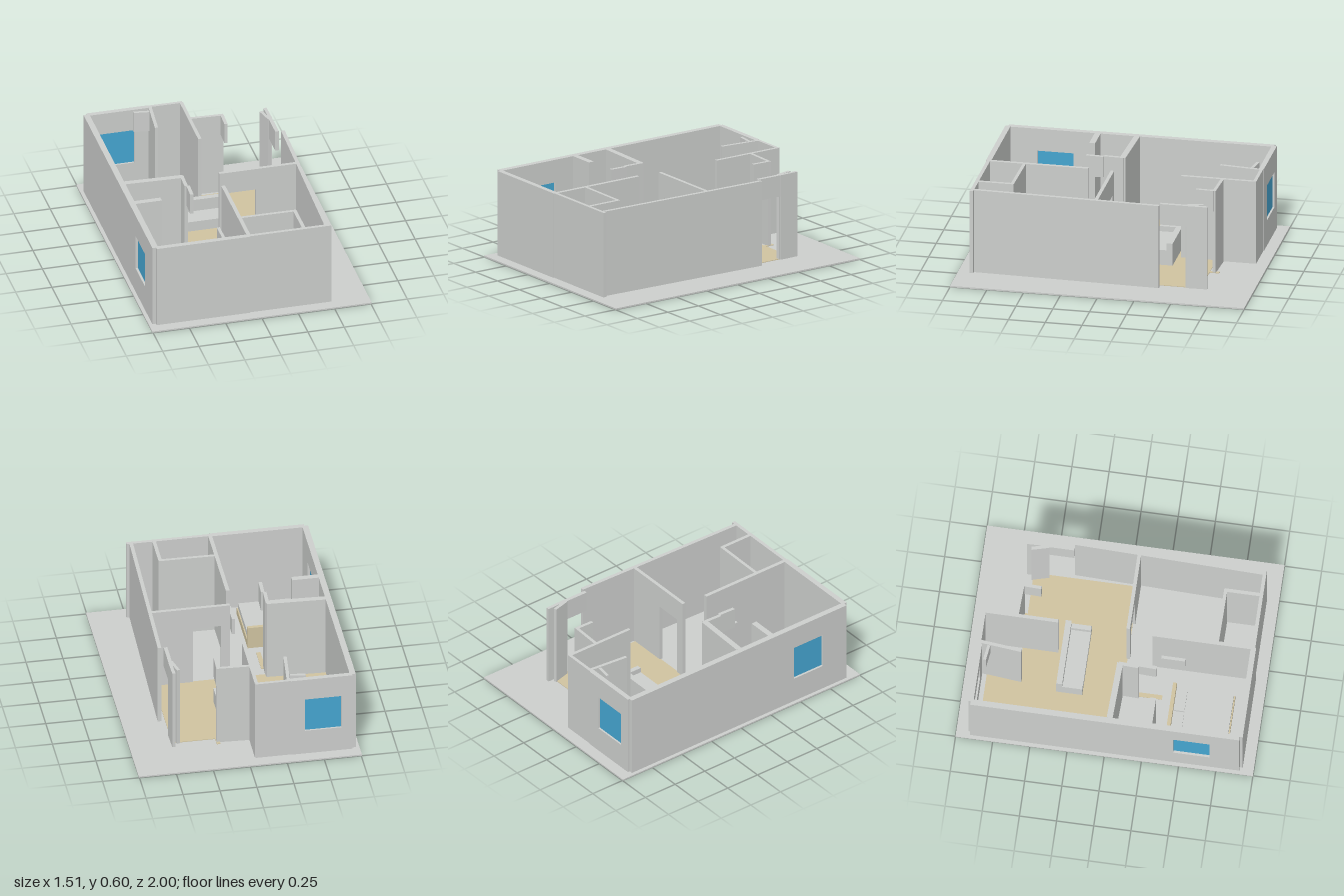
import * as THREE from 'three';

const BASE = 0.01, TOP = 0.597, DOOR = 0.45, SILL = 0.19, HEAD = 0.44;

export function createModel() {
  const model = new THREE.Group();
  model.name = 'house';
  const material = (name, color) => {
    const m = new THREE.MeshStandardMaterial({ color });
    m.name = name;
    return m;
  };
  const grey = material('pale grey', 0xcccecc);
  const wood = material('light wood', 0xcfc3a0);
  const blue = material('window blue', 0x45a5d0);

  // Box given by its limits on each axis
  const box = (name, mat, x0, x1, y0, y1, z0, z1, parent = model) => {
    const mesh = new THREE.Mesh(new THREE.BoxGeometry(x1 - x0, y1 - y0, z1 - z0), mat);
    mesh.position.set((x0 + x1) / 2, (y0 + y1) / 2, (z0 + z1) / 2);
    mesh.name = name;
    parent.add(mesh);
    return mesh;
  };

  // Upright panel along the plan line a-b
  const wall = (name, a, b, t, y0 = BASE, y1 = TOP, mat = grey) => {
    const dx = b[0] - a[0], dz = b[1] - a[1];
    const mesh = new THREE.Mesh(new THREE.BoxGeometry(Math.hypot(dx, dz), y1 - y0, t), mat);
    mesh.position.set((a[0] + b[0]) / 2, (y0 + y1) / 2, (a[1] + b[1]) / 2);
    mesh.rotation.y = -Math.atan2(dz, dx);
    mesh.name = name;
    model.add(mesh);
  };
  const lintel = (a, b, t) => wall('doorLintel', a, b, t, DOOR, TOP);

  // Wall with an opening between distances s and e along it
  const openWall = (name, a, b, t, s, e, y0, y1, glazed) => {
    const len = Math.hypot(b[0] - a[0], b[1] - a[1]);
    const at = d => [a[0] + (b[0] - a[0]) * d / len, a[1] + (b[1] - a[1]) * d / len];
    wall(name, a, at(s), t);
    wall(name, at(e), b, t);
    wall(name + 'Lintel', at(s), at(e), t, y1, TOP);
    if (y0 > BASE) wall(name + 'Sill', at(s), at(e), t, BASE, y0);
    if (glazed) wall('windowGlass', at(s), at(e), 0.008, y0, y1, blue);
  };

  // Ground slab and timber floor
  box('groundSlab', grey, -0.755, 0.755, 0, BASE, -1, 1);
  box('bedroomFloor', wood, -0.69, -0.29, BASE, 0.014, -0.855, 0.03);
  box('livingFloor', wood, -0.29, 0.465, BASE, 0.014, -0.645, 0.058);
  box('threshold', wood, 0.15, 0.175, BASE, 0.014, -0.71, -0.64);
  box('threshold', wood, -0.305, -0.275, BASE, 0.014, 0.13, 0.325);

  // Outer walls
  openWall('sideWall', [-0.71, -0.905], [-0.71, 0.905], 0.04, 1.365, 1.61, SILL, HEAD, true);
  openWall('backWall', [-0.705, -0.903], [-0.29, -0.903], 0.034, 0.075, 0.32, SILL, HEAD, true);
  wall('backWall', [-0.29, -0.905], [-0.05, -0.905], 0.022);
  wall('frontWall', [-0.705, 0.907], [-0.065, 0.907], 0.036);
  wall('frontWall', [-0.065, 0.907], [0.5, 0.907], 0.024);
  wall('entranceSideWall', [0.502, -0.37], [0.467, 0.9], 0.025);

  // Entrance
  lintel([0.462, -0.55], [0.462, -0.37], 0.025);
  wall('entrancePost', [0.425, -0.655], [0.455, -0.54], 0.022);
  wall('entrancePost', [0.462, -0.69], [0.465, -0.55], 0.022);

  // Rear rooms
  wall('bathPartition', [-0.275, -0.895], [-0.302, -0.62], 0.022);
  lintel([-0.4, -0.855], [-0.295, -0.84], 0.02);
  wall('hallPartition', [-0.058, -0.905], [-0.06, -0.405], 0.023);
  wall('rearWall', [-0.055, -0.685], [0.172, -0.675], 0.022);
  lintel([0.162, -0.67], [0.158, -0.55], 0.022);

  // Front rooms
  wall('bedroomWall', [-0.69, 0.028], [-0.295, 0.043], 0.04);
  wall('bedroomReturn', [-0.3, 0.035], [-0.305, 0.17], 0.024);
  lintel([-0.292, 0.17], [-0.297, 0.29], 0.024);
  wall('closetStub', [-0.69, 0.295], [-0.51, 0.295], 0.04);
  openWall('kitchenWall', [-0.05, 0.062], [0.48, 0.062], 0.024, 0.06, 0.25, BASE, HEAD, false);
  wall('bedroomPartition', [-0.066, 0.23], [-0.066, 0.9], 0.026);
  wall('storeWall', [-0.053, 0.662], [0.322, 0.667], 0.022);
  wall('storeReturn', [0.313, 0.66], [0.313, 0.9], 0.024);
  box('wallScreen', grey, -0.127, -0.106, 0.2, 0.32, 0.295, 0.455);

  // Sofa
  const sofa = new THREE.Group();
  sofa.name = 'sofa';
  model.add(sofa);
  box('sofaSeat', grey, -0.31, 0.075, 0.014, 0.085, -0.34, -0.205, sofa);
  box('sofaBack', grey, -0.347, 0.108, 0.014, 0.17, -0.38, -0.34, sofa);
  for (const x of [-0.347, 0.075]) box('sofaArm', grey, x, x + 0.033, 0.014, 0.12, -0.34, -0.205, sofa);

  // Bed
  const bed = new THREE.Group();
  bed.name = 'bed';
  model.add(bed);
  box('bedFrame', wood, -0.6, -0.23, BASE, 0.06, 0.415, 0.808, bed);
  box('headboard', wood, -0.6, -0.23, BASE, 0.17, 0.39, 0.415, bed);
  box('mattress', grey, -0.592, -0.238, 0.06, 0.1, 0.415, 0.8, bed);
  for (const x of [-0.573, -0.405]) box('pillow', grey, x, x + 0.15, 0.1, 0.12, 0.42, 0.49, bed);

  return model;
}
